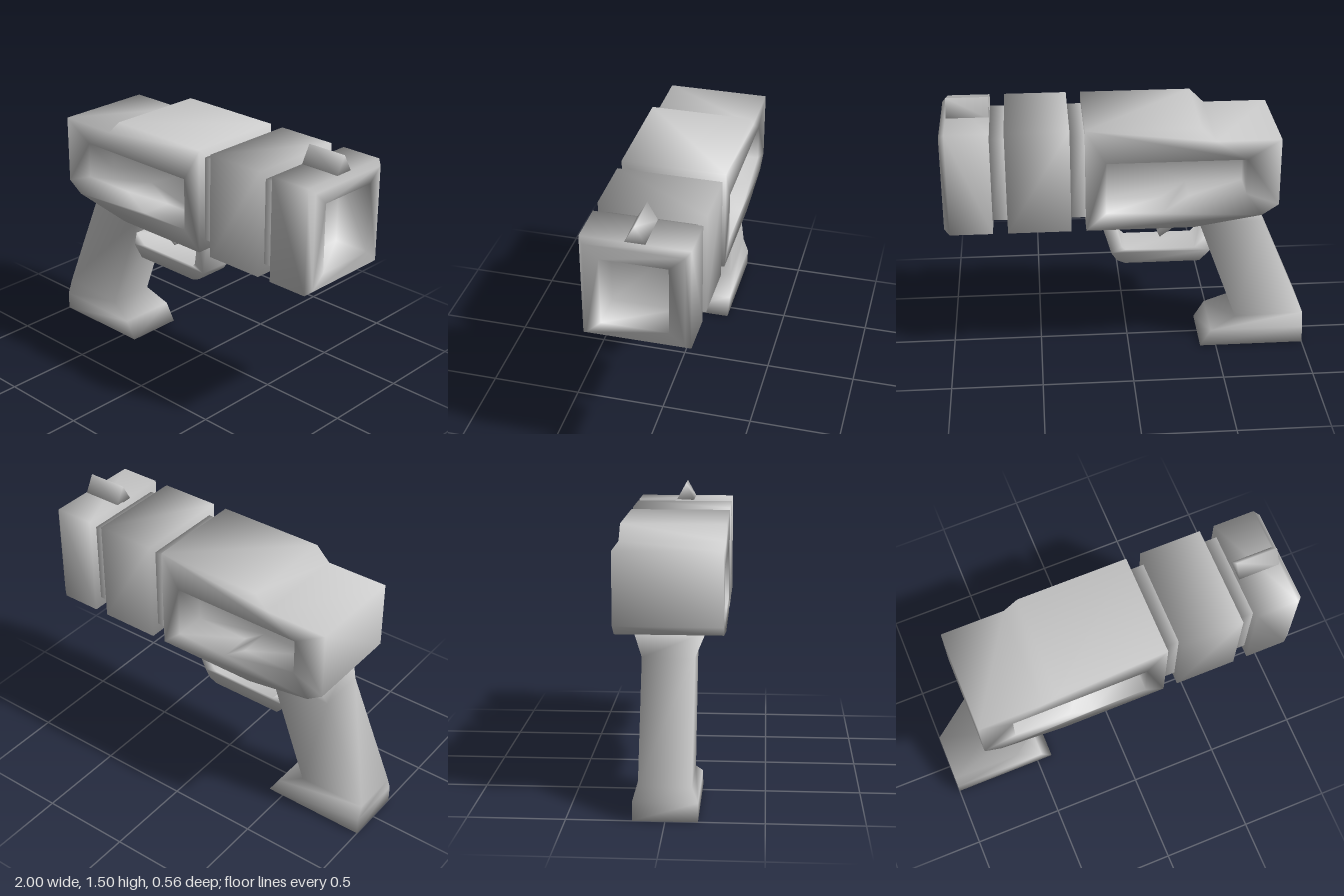
import * as THREE from 'three';
import { mergeVertices } from 'three/addons/utils/BufferGeometryUtils.js';

const material = new THREE.MeshStandardMaterial({ color: 0xcccccc });

// Welds corners so shading rolls softly over every edge
function smooth(geometry) {
  geometry.deleteAttribute('normal');
  geometry.deleteAttribute('uv');
  const welded = mergeVertices(geometry, 1e-4);
  welded.computeVertexNormals();
  return welded;
}

// Collects faces as quads, walls between loops, and flat caps
function makeShell() {
  const pos = [];
  const tri = (a, b, c) => pos.push(...a, ...b, ...c);
  const quad = (a, b, c, d) => { tri(a, b, c); tri(a, c, d); };
  const wall = (a, b) => a.forEach((p, i) => {
    const j = (i + 1) % a.length;
    quad(p, a[j], b[j], b[i]);
  });
  // Flat face at depth z, with an optional hole, facing +z (dir 1) or -z (dir -1)
  const cap = (outline, z, dir, hole) => {
    const toV = pts => pts.map(p => new THREE.Vector2(p[0], p[1]));
    const all = at(hole ? [...outline, ...hole] : outline, z);
    for (const f of THREE.ShapeUtils.triangulateShape(toV(outline), hole ? [toV(hole)] : [])) {
      const [a, b, c] = f.map(i => all[i]);
      const area = (b[0] - a[0]) * (c[1] - a[1]) - (c[0] - a[0]) * (b[1] - a[1]);
      if (area * dir > 0) tri(a, b, c); else tri(a, c, b);
    }
  };
  const build = () => {
    const g = new THREE.BufferGeometry();
    g.setAttribute('position', new THREE.Float32BufferAttribute(pos, 3));
    return smooth(g);
  };
  return { quad, wall, cap, build };
}

const at = (pts, z) => pts.map(p => [p[0], p[1], z]);
const rect = (w, y0, y1) => [[-w, y0], [w, y0], [w, y1], [-w, y1]];

// Counter-clockwise outline pushed from z0 to z1
function prism(outline, z0, z1) {
  const s = makeShell();
  s.wall(at(outline, z0), at(outline, z1));
  s.cap(outline, z0, -1);
  s.cap(outline, z1, 1);
  return s.build();
}

// Main housing with a recessed panel on both sides
function bodyGeometry() {
  const outline = [[-0.8, 0.95], [-0.71, 0.89], [-0.34, 0.83], [0.24, 0.83],
    [0.24, 1.41], [-0.37, 1.41], [-0.45, 1.33], [-0.8, 1.33]];
  const recess = [[-0.62, 1.02], [-0.31, 1.02], [-0.18, 0.93], [0.13, 0.93], [0.13, 1.22], [-0.62, 1.22]];
  const w = 0.28, floor = 0.1;
  const s = makeShell();
  s.wall(at(outline, -w), at(outline, w));
  for (const side of [-1, 1]) {
    s.cap(outline, side * w, side, recess);
    s.cap(recess, side * floor, side);
  }
  s.wall(at(recess, w), at(recess, floor));
  s.wall(at(recess, -floor), at(recess, -w));
  return s.build();
}

// Muzzle block with a bevelled end and a square bore, running along x
function muzzleGeometry() {
  const outer = rect(0.28, 0.83, 1.41), lip = rect(0.255, 0.855, 1.385), bore = rect(0.175, 0.93, 1.31);
  const s = makeShell();
  s.cap(outer, 0.74, -1);
  s.wall(at(outer, 0.74), at(outer, 0.97));
  s.wall(at(outer, 0.97), at(lip, 1));
  s.cap(lip, 1, 1, bore);
  s.wall(at(bore, 1), at(bore, 0.8));
  s.cap(bore, 0.8, 1);
  return s.build().rotateY(Math.PI / 2);
}

// Slanted grip with a flared foot and a widened top
function gripGeometry() {
  // rear x, rear y, front x, front y, half width
  const sections = [
    [-1, 0, -0.41, 0, 0.165],
    [-1, 0.1, -0.47, 0.1, 0.165],
    [-1, 0.18, -0.61, 0.17, 0.135],
    [-0.745, 0.78, -0.39, 0.78, 0.135],
    [-0.695, 0.9, -0.32, 0.84, 0.18],
  ];
  const loops = sections.map(([xr, yr, xf, yf, w]) => [[xr, yr, -w], [xr, yr, w], [xf, yf, w], [xf, yf, -w]]);
  const s = makeShell();
  for (let i = 1; i < loops.length; i++) s.wall(loops[i - 1], loops[i]);
  s.quad(...[...loops[0]].reverse());
  s.quad(...loops[loops.length - 1]);
  return s.build();
}

// Trigger guard, wider where it meets the housing
function guardGeometry() {
  const g = prism([[-0.46, 0.59], [-0.4, 0.525], [0.02, 0.525], [0.065, 0.545], [0.095, 0.59],
    [0.165, 0.84], [0.09, 0.84], [0.035, 0.63], [0.015, 0.61], [-0.37, 0.61], [-0.43, 0.68]], -1, 1);
  const p = g.attributes.position;
  for (let i = 0; i < p.count; i++) {
    p.setZ(i, p.getZ(i) * (0.1 + 0.035 * Math.max(0, (p.getY(i) - 0.6) / 0.24)));
  }
  g.computeVertexNormals();
  return g;
}

export function createModel() {
  const group = new THREE.Group();
  const add = (name, geometry) => {
    const mesh = new THREE.Mesh(geometry, material);
    mesh.name = name;
    group.add(mesh);
  };
  // Box spanning x0..x1 with half depth w and height y0..y1
  const block = (name, x0, x1, w, y0, y1) => add(name,
    smooth(new THREE.BoxGeometry(x1 - x0, y1 - y0, 2 * w).translate((x0 + x1) / 2, (y0 + y1) / 2, 0)));

  add('body', bodyGeometry());
  block('rearNeck', 0.24, 0.32, 0.235, 0.89, 1.36);
  block('barrelBlock', 0.32, 0.66, 0.28, 0.83, 1.41);
  block('frontNeck', 0.66, 0.74, 0.235, 0.89, 1.36);
  add('muzzle', muzzleGeometry());
  add('frontSight', prism([[-0.055, 1.405], [0.055, 1.405], [0, 1.505]], 0.74, 0.967).rotateY(Math.PI / 2));
  add('grip', gripGeometry());
  add('triggerGuard', guardGeometry());
  add('trigger', prism([[-0.27, 0.84], [-0.27, 0.76], [-0.245, 0.705], [-0.18, 0.657], [-0.165, 0.69],
    [-0.2, 0.72], [-0.215, 0.77], [-0.2, 0.84]], -0.05, 0.05));
  return group;
}
